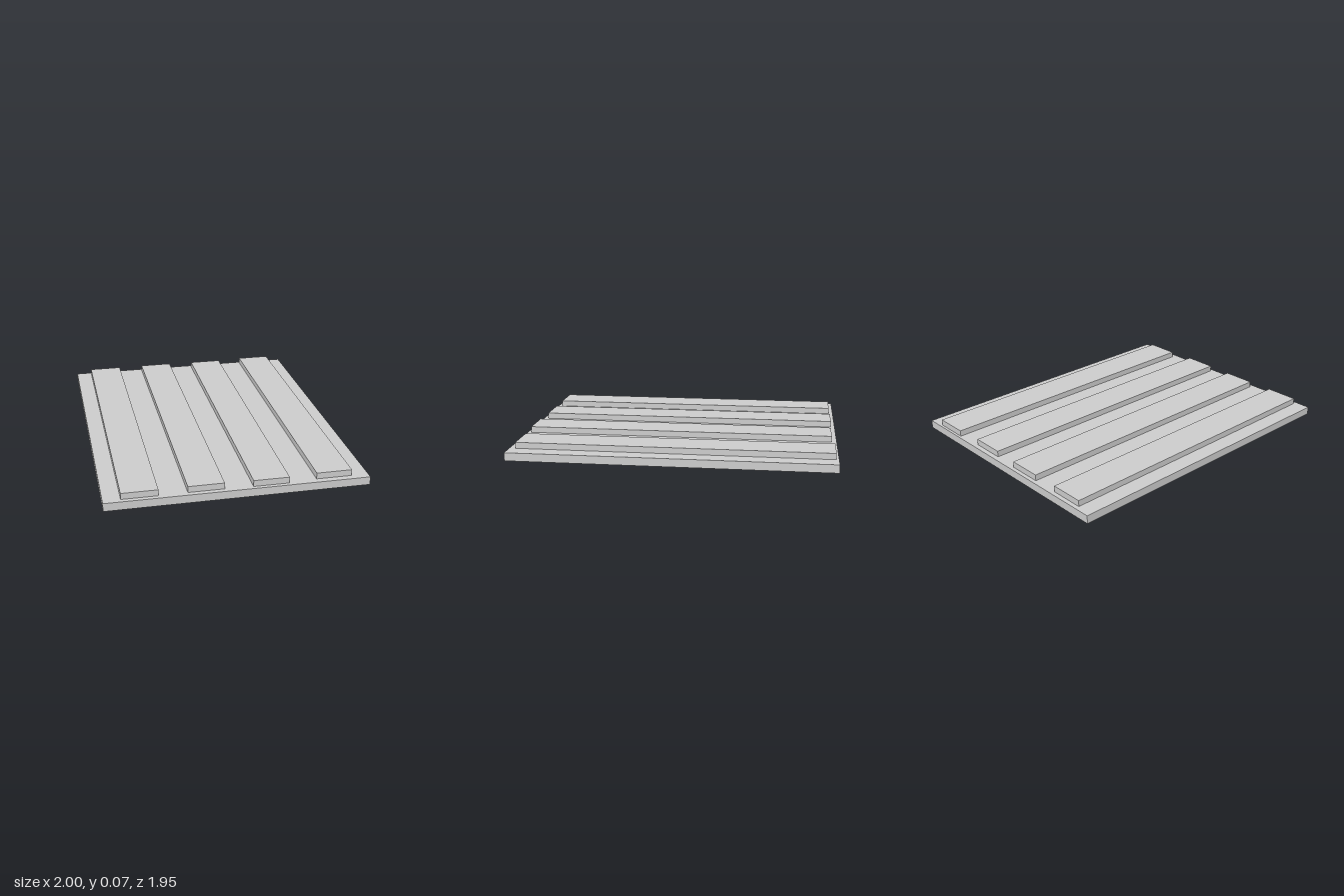
import * as THREE from 'three';

const material = new THREE.MeshStandardMaterial({ color: 0xcccccc, flatShading: true });

function board(name, length, height, width, x, bottom, z) {
  const mesh = new THREE.Mesh(new THREE.BoxGeometry(length, height, width), material);
  mesh.name = name;
  mesh.position.set(x, bottom + height / 2, z);
  return mesh;
}

export function createModel() {
  const model = new THREE.Group();
  model.name = 'slattedPanel';

  // The whole panel lies flat, turned about the vertical axis
  const panel = new THREE.Group();
  panel.name = 'panel';
  panel.rotation.y = -0.672;
  model.add(panel);

  // Base plate
  panel.add(board('basePlate', 1.572, 0.04, 1.242, 0, 0, 0));

  // Four parallel slats, each slightly shifted along its length
  const shifts = [-0.009, 0.003, -0.002, 0];
  shifts.forEach((shift, i) => {
    panel.add(board(`slat${i + 1}`, 1.528, 0.03, 0.17, shift, 0.04, (i - 1.5) * 0.303));
  });

  return model;
}
